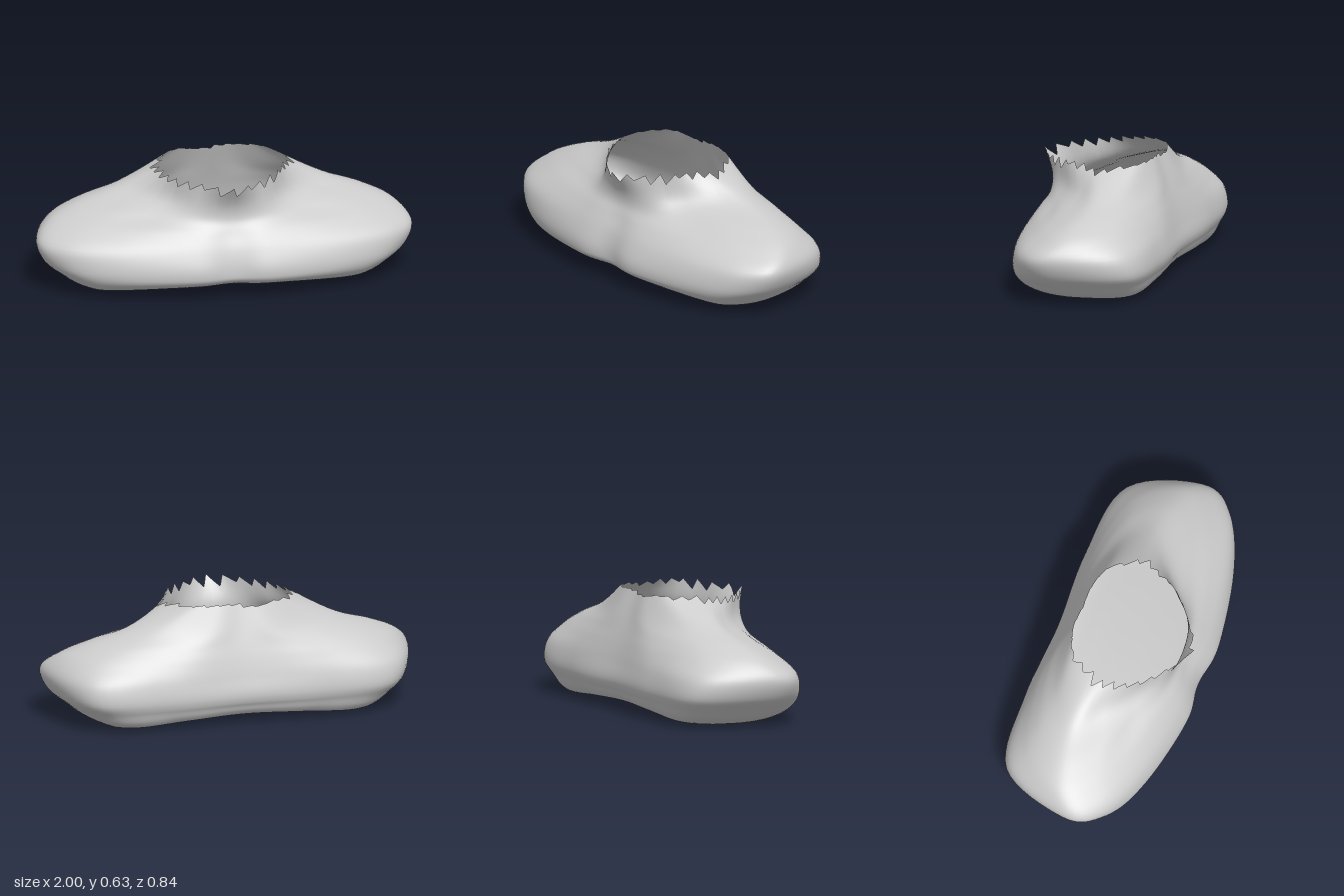
import * as THREE from 'three';

// Half outlines: height, back centre z, [x, z] points round the +x side, front centre z
const LEVELS = [
  [0.10, -.385, [[.4, -.4], [.77, -.34], [.885, 0], [.81, .225], [.59, .34], [.22, .41]], .39],
  [0.17, -.405, [[.42, -.42], [.83, -.36], [.965, .02], [.88, .225], [.63, .345], [.22, .42]], .395],
  [0.27, -.385, [[.42, -.405], [.84, -.34], [1, .03], [.9, .21], [.62, .32], [.22, .385]], .37],
  [0.36, -.36, [[.37, -.37], [.77, -.285], [.93, -.03], [.81, .135], [.54, .25], [.2, .33]], .325],
  [0.425, -.338, [[.3, -.34], [.66, -.25], [.8, -.06], [.65, .09], [.41, .185], [.2, .28]], .298],
  [0.50, -.31, [[.2, -.312], [.47, -.225], [.58, -.09], [.46, .03], [.31, .155], [.18, .265]], .305],
  [0.645, -.255, [[.12, -.255], [.24, -.21], [.3, -.07], [.3, .05], [.265, .165], [.15, .275]], .385],
];
const COLS = 112, ROWS = 54;

// Mirrors a half outline and samples it as a smooth closed ring
function ring([y, back, side, front]) {
  const half = (sign) => side.map(([x, z]) => new THREE.Vector3(sign * x, y, z));
  const pts = [new THREE.Vector3(0, y, back), ...half(1),
    new THREE.Vector3(0, y, front), ...half(-1).reverse()];
  const curve = new THREE.CatmullRomCurve3(pts, true, 'catmullrom', 0.5);
  return Array.from({ length: COLS }, (_, i) => curve.getPoint(i / COLS));
}

// Shrinks a ring to form the rounded underside
const shrink = (points, y, s, dz) => points.map(p => new THREE.Vector3(p.x * s, y, p.z * s + dz));

// Repeatable number from 0 to 1
const noise = n => { const s = Math.sin(n * 91.7 + 3.1) * 4375.5; return s - Math.floor(s); };

// How far the torn rim drops at each column: saw teeth, calmer at the back
function tear(i) {
  const front = 0.5 - 0.5 * Math.cos(i / COLS * Math.PI * 2);
  const tooth = (i % 4) / 3 * (0.4 + 0.6 * noise(Math.floor(i / 4)));
  return 0.003 + (0.006 + 0.036 * front) * tooth + 0.014 * noise(Math.floor(i / 8) + 40);
}

function createShell() {
  const levels = LEVELS.map(ring);
  const rings = [
    shrink(levels[0], -0.012, 0, -.06),
    shrink(levels[0], -0.01, .4, -.06),
    shrink(levels[0], 0.006, .78, -.04),
    shrink(levels[0], 0.048, .92, -.015),
    ...levels,
  ];
  const pos = [], idx = [];
  for (let i = 0; i < COLS; i++) {
    const column = new THREE.CatmullRomCurve3(rings.map(r => r[i]), false, 'centripetal');
    for (let j = 0; j <= ROWS; j++) {
      const v = j / ROWS;
      const q = column.getPoint(v * (1 - tear(i) * v ** 12));
      // The underside arches up in the middle
      const arch = 0.052 * Math.max(0, 1 - (q.x / 0.7) ** 2) * Math.max(0, 1 - q.y / 0.13);
      pos.push(q.x, Math.max(0, q.y + arch), q.z);
      if (j < ROWS) {
        const a = i * (ROWS + 1) + j, b = ((i + 1) % COLS) * (ROWS + 1) + j;
        idx.push(a, a + 1, b, b, a + 1, b + 1);
      }
    }
  }
  const geo = new THREE.BufferGeometry();
  geo.setAttribute('position', new THREE.Float32BufferAttribute(pos, 3));
  geo.setIndex(idx);
  geo.computeVertexNormals();
  return geo;
}

export function createModel() {
  const group = new THREE.Group();
  group.name = 'shouldersBust';
  // Open shell: chest, shoulders, back and torn neck rim
  const shell = new THREE.Mesh(createShell(),
    new THREE.MeshStandardMaterial({ color: 0xcccccc, side: THREE.DoubleSide }));
  shell.name = 'shouldersAndNeck';
  group.add(shell);
  return group;
}
